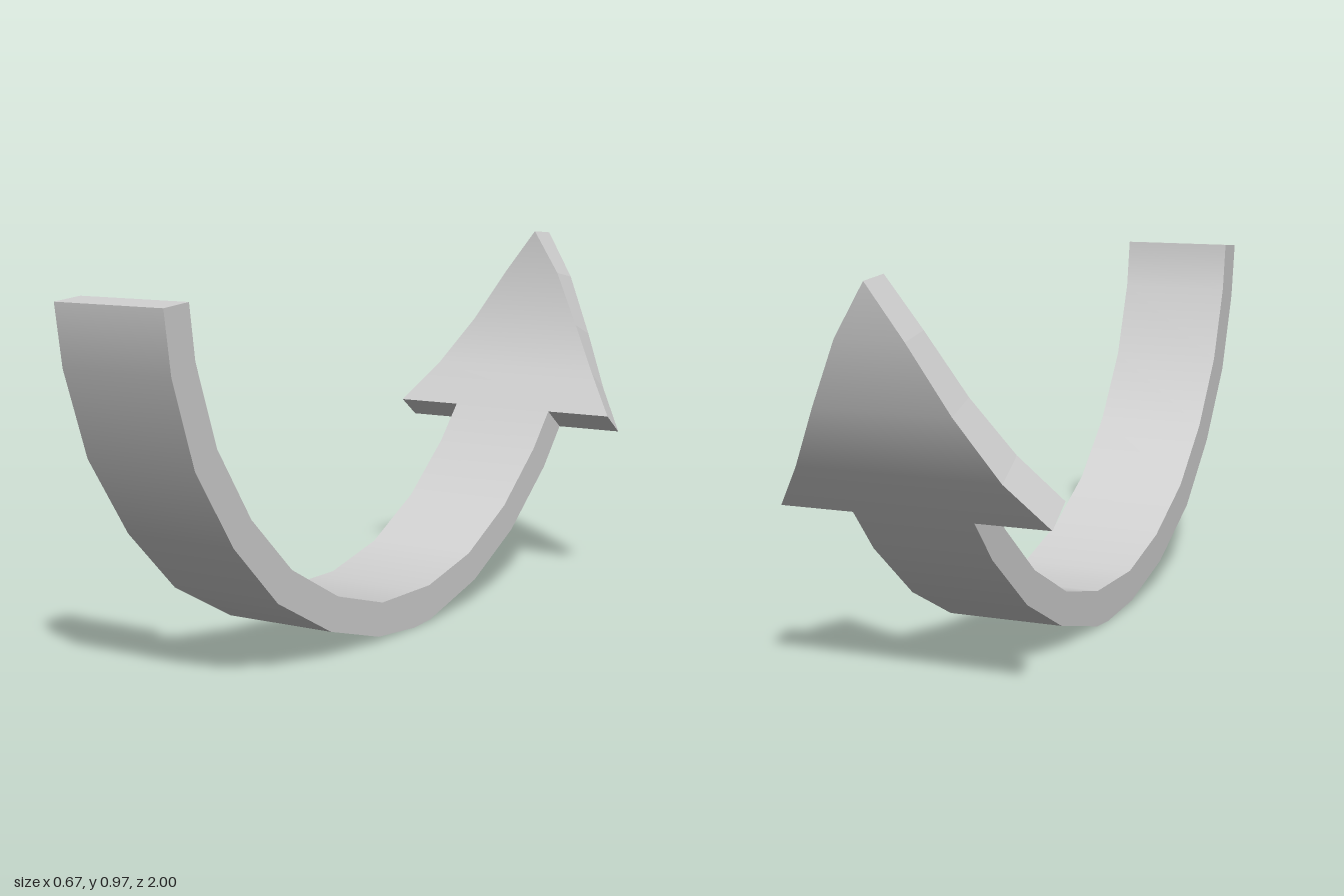
import * as THREE from 'three';

// Each station across the curved band: [outer z, outer y, inner z, inner y]
const shaftStations = [
  [1, 0.893, 0.914, 0.9], [0.977, 0.746, 0.895, 0.772], [0.902, 0.537, 0.823, 0.575],
  [0.768, 0.345, 0.7, 0.398], [0.6, 0.185, 0.544, 0.254], [0.383, 0.072, 0.351, 0.152],
  [0.17, 0.013, 0.153, 0.097], [0, 0, 0, 0.097], [-0.077, 0.005, -0.072, 0.097],
  [-0.308, 0.066, -0.276, 0.144], [-0.512, 0.169, -0.469, 0.243],
  [-0.7, 0.318, -0.635, 0.377], [-0.793, 0.422, -0.722, 0.473],
];
const headStations = [
  [-0.793, 0.422, -0.722, 0.473], [-0.866, 0.53, -0.791, 0.58], [-0.932, 0.678, -0.85, 0.709],
  [-0.979, 0.837, -0.893, 0.853], [-1, 0.963, -0.91, 0.97],
];

// Sweeps a rectangular section: smooth broad faces, crisp edges, one end cap
function bandGeometry(stations, halfWidth) {
  const positions = [], normals = [];
  const quad = (corners, smooth) => {
    const [a, b, c, d] = corners;
    const flat = c.clone().sub(a).cross(d.clone().sub(b)).normalize();
    for (const k of [0, 1, 2, 0, 2, 3]) {
      positions.push(...corners[k].toArray());
      normals.push(...(smooth ? smooth[k] : flat).toArray());
    }
  };
  const rings = stations.map(([oz, oy, iz, iy], i) => {
    const w = halfWidth(i / (stations.length - 1));
    const up = new THREE.Vector3(0, iy - oy, iz - oz).normalize();
    return {
      up, down: up.clone().negate(),
      oL: new THREE.Vector3(w, oy, oz), oR: new THREE.Vector3(-w, oy, oz),
      iL: new THREE.Vector3(w, iy, iz), iR: new THREE.Vector3(-w, iy, iz),
    };
  });
  for (let i = 0; i < rings.length - 1; i++) {
    const p = rings[i], q = rings[i + 1];
    quad([p.iL, q.iL, q.iR, p.iR], [p.up, q.up, q.up, p.up]);
    quad([p.oR, q.oR, q.oL, p.oL], [p.down, q.down, q.down, p.down]);
    quad([p.oL, q.oL, q.iL, p.iL]);
    quad([p.iR, q.iR, q.oR, p.oR]);
  }
  const s = rings[0];
  quad([s.oR, s.oL, s.iL, s.iR]);
  const geometry = new THREE.BufferGeometry();
  geometry.setAttribute('position', new THREE.Float32BufferAttribute(positions, 3));
  geometry.setAttribute('normal', new THREE.Float32BufferAttribute(normals, 3));
  return geometry;
}

export function createModel() {
  const group = new THREE.Group();
  group.name = 'curvedArrow';
  const grey = new THREE.MeshStandardMaterial({ color: 0xd0d0d0 });
  grey.name = 'lightGrey';

  // Constant-width curved shaft
  const shaft = new THREE.Mesh(bandGeometry(shaftStations, () => 0.15), grey);
  shaft.name = 'arrowShaft';

  // Head tapering from its barbs to a point
  const head = new THREE.Mesh(bandGeometry(headStations, (t) => 0.335 * (1 - t)), grey);
  head.name = 'arrowHead';

  group.add(shaft, head);
  return group;
}
